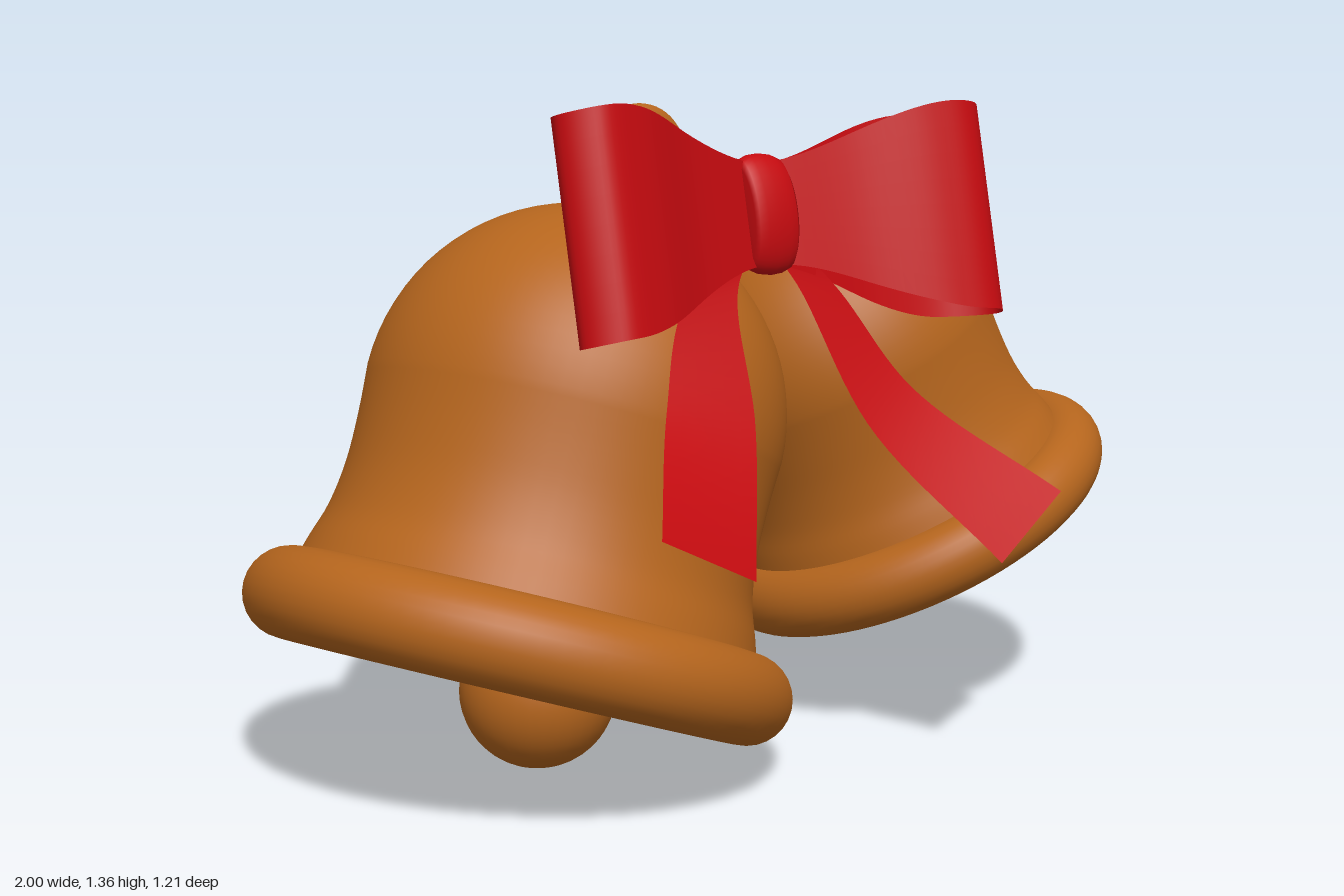
import * as THREE from 'three';

const bronze = new THREE.MeshStandardMaterial({ color: 0xb5651d, side: THREE.DoubleSide });
const red = new THREE.MeshStandardMaterial({ color: 0xc40a0f, side: THREE.DoubleSide });

function add(parent, name, geometry, material) {
  const mesh = new THREE.Mesh(geometry, material);
  mesh.name = name;
  parent.add(mesh);
  return mesh;
}

// Smooth grid surface from a function of (u, v) in 0..1
function sheet(fn, nu, nv) {
  const pos = [], idx = [];
  for (let i = 0; i <= nu; i++)
    for (let j = 0; j <= nv; j++) pos.push(...fn(i / nu, j / nv).toArray());
  for (let i = 0; i < nu; i++)
    for (let j = 0; j < nv; j++) {
      const a = i * (nv + 1) + j, b = a + nv + 1;
      idx.push(a, b, a + 1, b, b + 1, a + 1);
    }
  const g = new THREE.BufferGeometry();
  g.setAttribute('position', new THREE.Float32BufferAttribute(pos, 3));
  g.setIndex(idx);
  g.computeVertexNormals();
  return g;
}

// Flared wall topped by a round dome, from the rim up to the apex
function bellProfile(wall, r, domeY) {
  const pts = new THREE.SplineCurve(wall.map(p => new THREE.Vector2(...p))).getPoints(20);
  for (let i = 1; i <= 20; i++) {
    const a = (i / 20) * Math.PI / 2;
    pts.push(new THREE.Vector2(i === 20 ? 0 : r * Math.cos(a), domeY + r * Math.sin(a)));
  }
  return pts;
}

// Bell: shell, lining and rolled rim; the origin is the middle of the rim
function makeBell(name, position, axis, scale, clapperOffset) {
  const bell = new THREE.Group();
  bell.name = name;
  bell.position.set(...position);

  const body = new THREE.Group();
  body.name = 'bellBody';
  body.scale.setScalar(scale);
  body.quaternion.setFromUnitVectors(new THREE.Vector3(0, 1, 0), new THREE.Vector3(...axis).normalize());
  bell.add(body);

  const outer = bellProfile([[0.475, 0.06], [0.458, 0.12], [0.436, 0.19], [0.424, 0.28], [0.424, 0.38], [0.43, 0.48]], 0.43, 0.48);
  const inner = bellProfile([[0.435, 0.06], [0.417, 0.15], [0.402, 0.28], [0.402, 0.48]], 0.402, 0.48);
  add(body, 'bellShell', new THREE.LatheGeometry(outer, 72), bronze);
  add(body, 'bellLining', new THREE.LatheGeometry(inner.reverse(), 72), bronze);
  add(body, 'bellRim', new THREE.TorusGeometry(0.468, 0.092, 28, 80), bronze).rotation.x = Math.PI / 2;

  add(bell, 'clapper', new THREE.SphereGeometry(0.159 * scale, 36, 24), bronze).position.set(...clapperOffset);
  return bell;
}

// Bow loop: teardrop ribbon that widens and droops away from the knot
function loopGeometry(side) {
  const path = new THREE.CatmullRomCurve3(
    [[0.03, 0.01], [0.2, 0.06], [0.36, 0.13], [0.46, 0.142], [0.514, 0.08], [0.46, 0.01], [0.3, -0.025], [0.15, -0.02], [0.03, -0.01]]
      .map(([x, z]) => new THREE.Vector3(x, 0, z)));
  return sheet((u, v) => {
    const p = path.getPoint(u);
    const half = 0.1 + 0.11 * THREE.MathUtils.smoothstep(p.x, 0, 0.43);
    return new THREE.Vector3(side * p.x, (v * 2 - 1) * half - 0.1 * p.x * p.x, p.z);
  }, 64, 8);
}

// Ribbon tail: surface stretched between two edge curves
function tailGeometry(edgeA, edgeB) {
  const [a, b] = [edgeA, edgeB].map(e => new THREE.CatmullRomCurve3(e.map(p => new THREE.Vector3(...p))));
  return sheet((u, v) => a.getPoint(u).lerp(b.getPoint(u), v), 32, 6);
}

export function createModel() {
  const model = new THREE.Group();
  model.name = 'bellsWithBow';

  // Two bells leaning together
  model.add(makeBell('largeBell', [-0.472, 0.27, -0.052], [0.36, 0.93, -0.09], 1, [0.037, -0.093, 0.01]));
  model.add(makeBell('smallBell', [0.563, 0.415, -0.04], [-0.4, 0.9, -0.16], 0.836, [-0.025, -0.08, 0.015]));

  // Hanging ring
  const ring = add(model, 'hangingRing', new THREE.TorusGeometry(0.077, 0.027, 20, 48), bronze);
  ring.position.set(-0.08, 1.232, -0.162);
  ring.rotation.set(-0.1, -0.1, 0);

  // Bow, leaning back
  const bow = new THREE.Group();
  bow.name = 'bow';
  bow.position.set(-0.09, 1.137, 0.25);
  bow.rotation.set(-0.23, 0, -0.02);
  model.add(bow);
  add(bow, 'rightLoop', loopGeometry(-1), red);
  add(bow, 'leftLoop', loopGeometry(1), red);

  // Knot: flattened barrel around the ribbon
  const knotProfile = [[0, -0.05], [0.095, -0.05], [0.108, -0.043], [0.116, -0.025], [0.119, 0],
    [0.116, 0.025], [0.108, 0.043], [0.095, 0.05], [0, 0.05]].map(p => new THREE.Vector2(...p));
  const knot = new THREE.LatheGeometry(knotProfile, 40);
  knot.rotateZ(Math.PI / 2);
  knot.scale(1.08, 1, 0.42);
  add(bow, 'knot', knot, red);

  // Tails, sweeping down and forward
  add(model, 'rightTail', tailGeometry(
    [[-0.11, 1.13, 0.24], [-0.3, 0.98, 0.27], [-0.41, 0.8, 0.36], [-0.565, 0.61, 0.55]],
    [[-0.08, 1.1, 0.24], [-0.165, 1.0, 0.265], [-0.22, 0.76, 0.385], [-0.367, 0.51, 0.57]]), red);
  add(model, 'leftTail', tailGeometry(
    [[-0.1, 1.1, 0.24], [-0.02, 1.0, 0.265], [0.06, 0.72, 0.4], [0.23, 0.46, 0.6]],
    [[-0.07, 1.13, 0.24], [0.085, 0.98, 0.27], [0.2, 0.78, 0.37], [0.418, 0.575, 0.575]]), red);

  return model;
}
